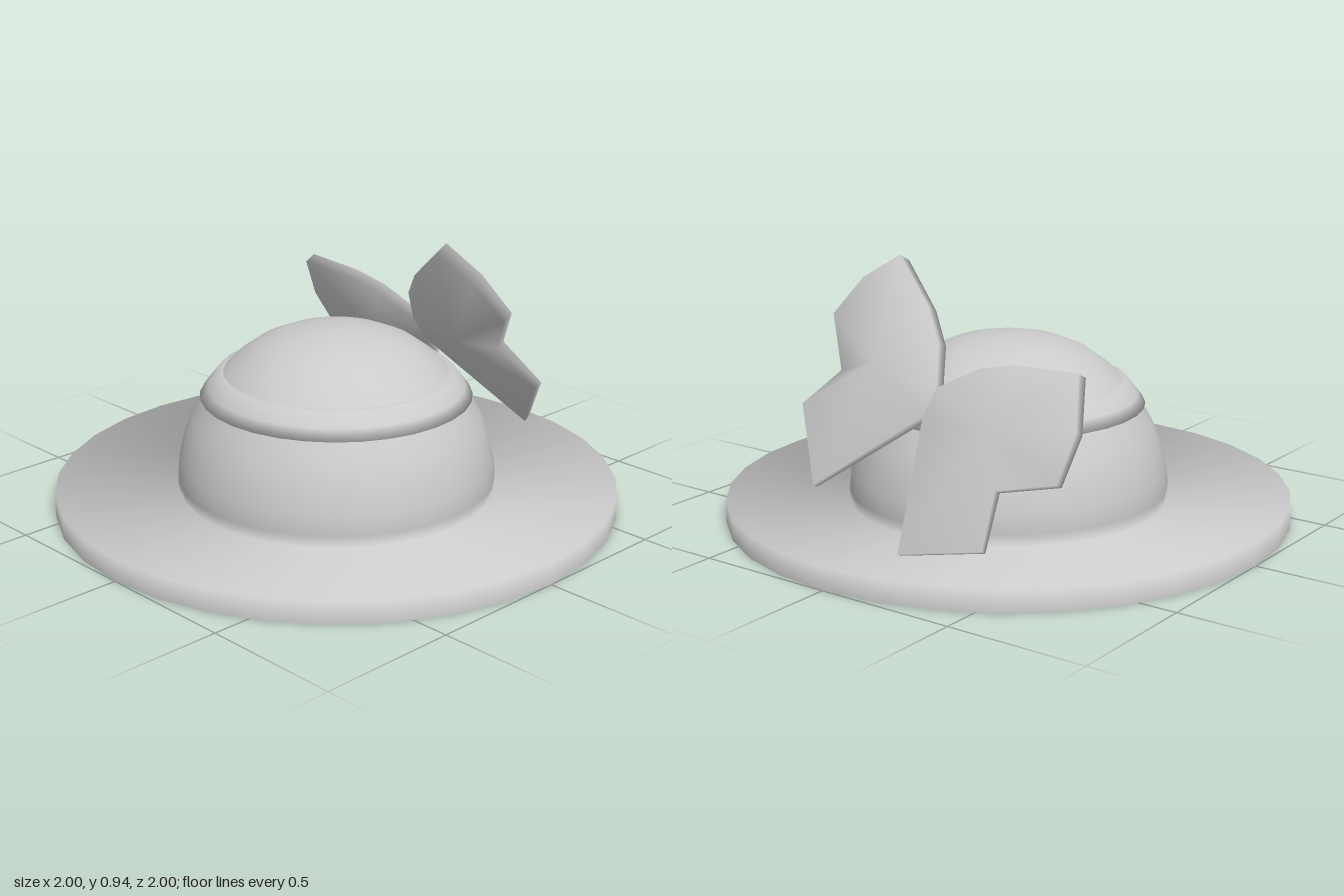
import * as THREE from 'three';

const material = new THREE.MeshStandardMaterial({ color: 0xcccccc, side: THREE.DoubleSide });
const SIDES = 32;

// Turned part of the hat; profile runs from the outside bottom to the top.
// Each profile corner is shaded with the even average of its two neighbours.
function turned(name, profile) {
  const points = profile.map(([r, y]) => new THREE.Vector2(r, y));
  const facing = points.slice(1).map((p, i) => {
    const step = p.clone().sub(points[i]).normalize();
    return new THREE.Vector2(step.y, -step.x);
  });
  const geometry = new THREE.LatheGeometry(points, SIDES);
  const normal = geometry.attributes.normal;
  for (let i = 0; i <= SIDES; i++) {
    const angle = (i / SIDES) * Math.PI * 2;
    for (let j = 0; j < points.length; j++) {
      const before = facing[Math.max(j - 1, 0)];
      const after = facing[Math.min(j, facing.length - 1)];
      const n = before.clone().add(after).normalize();
      normal.setXYZ(i * points.length + j, n.x * Math.sin(angle), n.y, n.x * Math.cos(angle));
    }
  }
  const mesh = new THREE.Mesh(geometry, material);
  mesh.name = name;
  return mesh;
}

// The bow lies on a slightly twisted plane leaning in towards the crown; depth goes behind it.
function onBowPlane(z, y, depth) {
  const tuck = 0.05 * z + 0.025 * Math.max(0, (z - 0.3) / 0.19);
  const x = 0.78 - 0.56 * (y - 0.08) - tuck;
  return [x - 0.873 * depth, y - 0.489 * depth, z];
}

// Padded bow loop: a front and a back fan around a puffed centre, joined by a thin edge.
function bowWing(name, outline, centre, frontPuff, backPuff) {
  const n = outline.length;
  const positions = [];
  const index = [];
  for (const [z, y] of outline) {
    positions.push(...onBowPlane(z, y, 0));
    positions.push(...onBowPlane(z, y, 0.015 + 0.045 * y));
  }
  positions.push(...onBowPlane(...centre, -frontPuff), ...onBowPlane(...centre, backPuff));
  const front = 2 * n, back = 2 * n + 1;
  for (let i = 0; i < n; i++) {
    const a = 2 * i, b = 2 * ((i + 1) % n);
    index.push(front, a, b, back, b + 1, a + 1);
    index.push(a, a + 1, b, b, a + 1, b + 1);
  }
  const geometry = new THREE.BufferGeometry();
  geometry.setAttribute('position', new THREE.Float32BufferAttribute(positions, 3));
  geometry.setIndex(index);
  geometry.computeVertexNormals();
  const mesh = new THREE.Mesh(geometry, material);
  mesh.name = name;
  return mesh;
}

export function createModel() {
  const hat = new THREE.Group();
  hat.name = 'hat';

  // Brim with a turned-down edge, dipping slightly to meet the crown wall
  hat.add(turned('brimAndCrown', [
    [1, 0], [1, 0.08], [0.56, 0.055], [0.567, 0.1], [0.56, 0.165], [0.543, 0.24],
    [0.515, 0.32], [0.468, 0.402],
  ]));

  // Raised band around the crown
  hat.add(turned('band', [
    [0.466, 0.402], [0.482, 0.4], [0.455, 0.437], [0.418, 0.483], [0.398, 0.485],
  ]));

  // Domed top
  hat.add(turned('dome', [
    [0.4, 0.483], [0.36, 0.525], [0.285, 0.58], [0.2, 0.617], [0.1, 0.641], [0, 0.645],
  ]));

  // Bow on the hat's left side; outlines are [z, y]
  const bow = new THREE.Group();
  bow.name = 'bow';
  bow.add(bowWing('frontBowWing', [
    [-0.08, 0.57], [-0.03, 0.7], [0.06, 0.8], [0.25, 0.94], [0.39, 0.85],
    [0.48, 0.72], [0.35, 0.56], [0.49, 0.43], [0.31, 0.21], [-0.06, 0.48],
  ], [0.2, 0.6], 0.03, 0.1));
  bow.add(bowWing('backBowWing', [
    [-0.06, 0.48], [-0.13, 0.085], [-0.45, 0.155], [-0.43, 0.325], [-0.65, 0.38],
    [-0.665, 0.53], [-0.61, 0.69], [-0.36, 0.68], [-0.23, 0.65], [-0.08, 0.57],
  ], [-0.33, 0.48], 0.03, 0.08));
  hat.add(bow);

  return hat;
}
